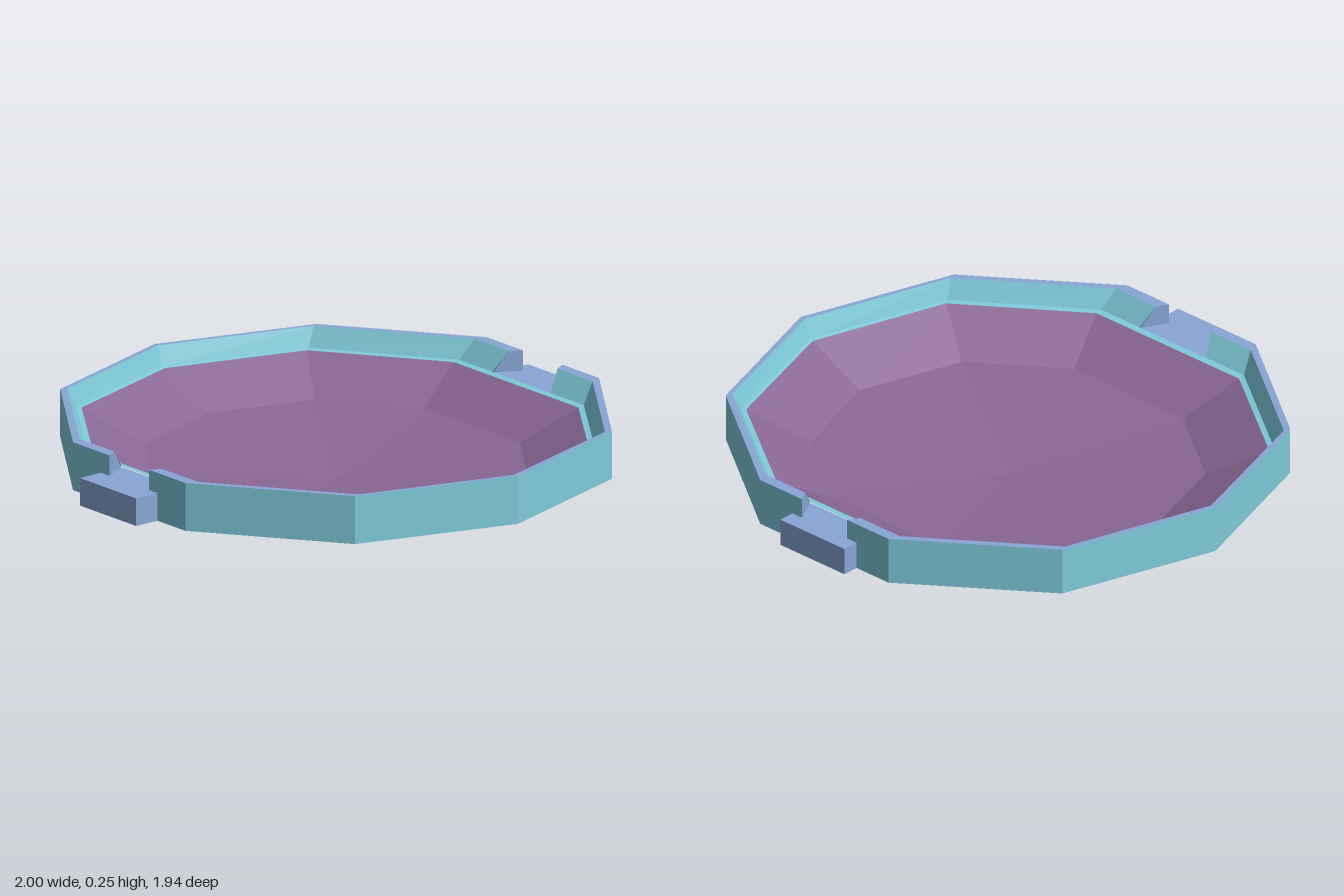
import * as THREE from 'three';

const material = (name, color) => {
  const m = new THREE.MeshStandardMaterial({ color, side: THREE.DoubleSide });
  m.name = name;
  return m;
};

// Ten-sided outline mirrored from three corners [x, z], starting at +z and turning to +x
function outline(y, [a, b, c]) {
  const half = [a, b, c, [c[0], -c[1]], [b[0], -b[1]]];
  return [...half, ...half.map(([x, z]) => [-x, -z])].map(([x, z]) => new THREE.Vector3(x, y, z));
}

function facets(name, mat, quads) {
  const pos = [];
  for (const [a, b, c, d] of quads)
    for (const p of [a, b, c, a, c, d]) pos.push(p.x, p.y, p.z);
  const geo = new THREE.BufferGeometry();
  geo.setAttribute('position', new THREE.Float32BufferAttribute(pos, 3));
  geo.computeVertexNormals();
  const mesh = new THREE.Mesh(geo, mat);
  mesh.name = name;
  return mesh;
}

// Band between two outlines; with cuts, the two side edges are open for |z| < cut
function band(A, B, cuts) {
  const quads = [];
  for (let i = 0; i < 10; i++) {
    const j = (i + 1) % 10;
    if (cuts && i % 5 === 2) {
      const at = (p, cut) => new THREE.Vector3(p.x, p.y, Math.sign(p.z) * cut);
      quads.push([A[i], at(A[i], cuts[0]), at(B[i], cuts[1]), B[i]]);
      quads.push([at(A[j], cuts[0]), A[j], B[j], at(B[j], cuts[1])]);
    } else quads.push([A[i], A[j], B[j], B[i]]);
  }
  return quads;
}

export function createModel() {
  const teal = material('teal', 0x7fcbdb);
  const blue = material('blue', 0x88a6d6);
  const purple = material('purple', 0x8a6896);
  const group = new THREE.Group();
  const body = new THREE.Group();
  body.name = 'trayBody';
  body.position.x = 0.017;
  group.add(body);

  const outer = [[0, 0.97], [0.573, 0.787], [0.923, 0.30]];
  const bottom = outline(0.075, outer);
  const top = outline(0.247, outer);
  const rimInner = outline(0.247, [[0, 0.95], [0.55, 0.778], [0.882, 0.315]]);
  const slopeFoot = outline(0.177, [[0, 0.926], [0.519, 0.767], [0.828, 0.333]]);
  const dishEdge = outline(0.174, [[0, 0.914], [0.503, 0.757], [0.803, 0.333]]);
  const dishMid = outline(0.067, [[0, 0.69], [0.38, 0.57], [0.607, 0.255]]);
  const centre = outline(0, [[0, 0], [0, 0], [0, 0]]);

  // Open-bottomed rim with a notch on each side
  body.add(facets('outerWall', teal, band(bottom, top, [0.105, 0.105])));
  body.add(facets('rimTop', blue, band(top, rimInner, [0.105, 0.128])));
  body.add(facets('innerSlope', teal, band(rimInner, slopeFoot, [0.128, 0.155])));
  body.add(facets('ledge', teal, band(slopeFoot, dishEdge)));

  // Slanted end faces of the notches
  const ends = [];
  for (const sx of [1, -1]) for (const sz of [1, -1]) {
    const v = (x, y, z) => new THREE.Vector3(sx * x, y, sz * z);
    const q = [v(0.923, 0.17, 0.105), v(0.923, 0.247, 0.105), v(0.882, 0.247, 0.128), v(0.828, 0.17, 0.155)];
    ends.push(sx * sz > 0 ? q : q.reverse());
  }
  body.add(facets('notchEnds', blue, ends));

  // Shallow faceted dish
  body.add(facets('dishSide', purple, band(dishEdge, dishMid)));
  body.add(facets('dishFloor', purple, band(dishMid, centre)));

  // Side tabs
  for (const [name, inner, tip] of [['leftTab', 0.845, 1], ['rightTab', -0.811, -1]]) {
    const tab = new THREE.Mesh(new THREE.BoxGeometry(Math.abs(tip - inner), 0.099, 0.3), blue);
    tab.name = name;
    tab.position.set((inner + tip) / 2, 0.1245, 0);
    group.add(tab);
  }
  return group;
}
